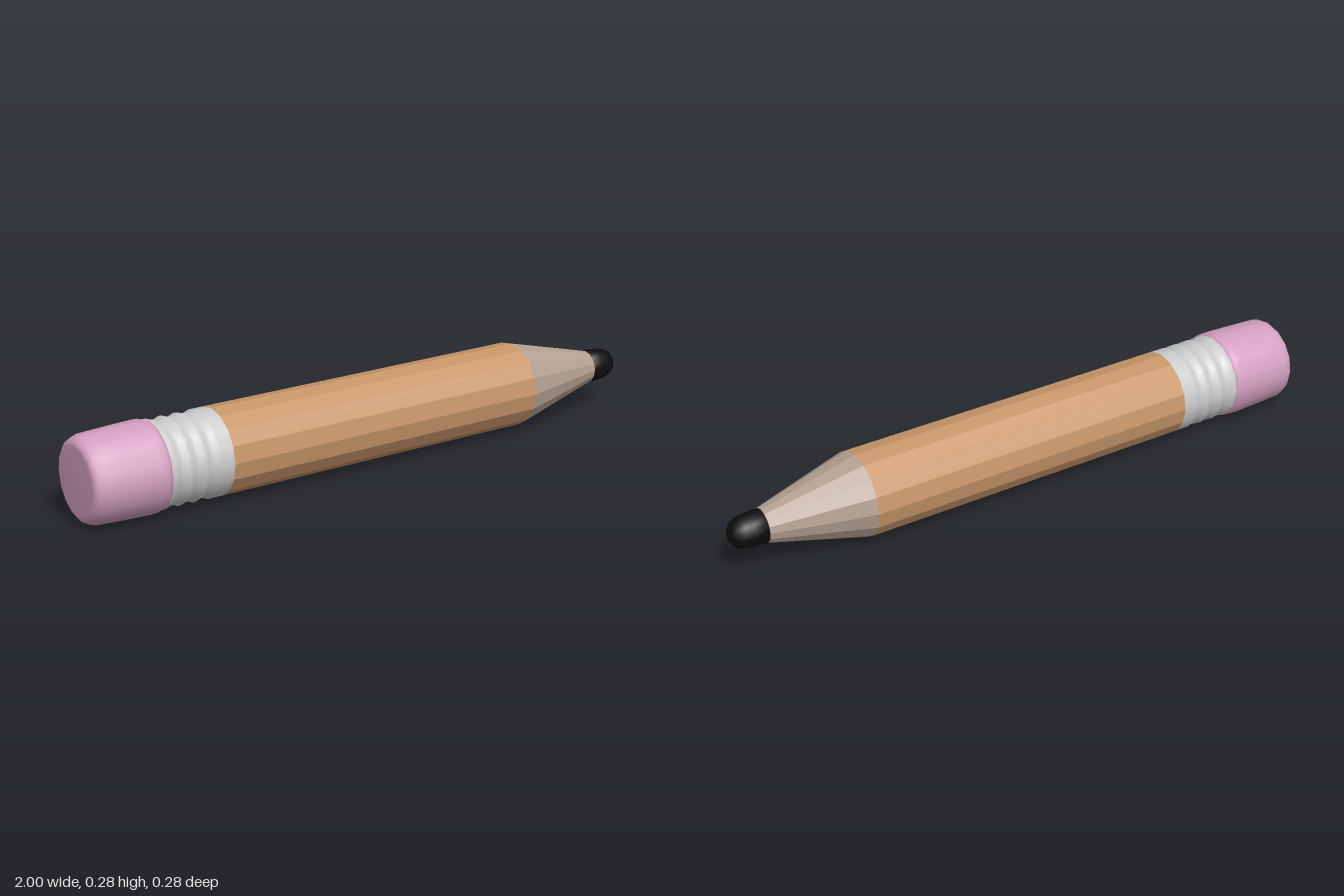
import * as THREE from 'three';

const SIDES = 16;
const AXIS_Y = 0.142;

// Turns a profile of [x along the pencil, radius] around the pencil's long axis.
function turned(name, profile, color, flat = false) {
  const points = profile.map(([x, r]) => new THREE.Vector2(r, x));
  const geometry = new THREE.LatheGeometry(points, SIDES);
  geometry.rotateZ(-Math.PI / 2);
  const material = new THREE.MeshStandardMaterial({ color, flatShading: flat });
  const mesh = new THREE.Mesh(geometry, material);
  mesh.name = name;
  mesh.position.y = AXIS_Y;
  return mesh;
}

export function createModel() {
  const pencil = new THREE.Group();
  pencil.name = 'pencil';

  // Eraser: flat end, rounded rim, slight flare and a lip over the ferrule
  pencil.add(turned('eraser', [
    [-1, 0], [-1, 0.105], [-0.996, 0.118], [-0.985, 0.129], [-0.965, 0.135],
    [-0.9, 0.138], [-0.79, 0.142], [-0.768, 0.141], [-0.757, 0.137], [-0.755, 0.128],
  ], 0xd4a0c0));

  // Ferrule: metal sleeve with three shallow grooves
  const ferrule = [[-0.765, 0.136]];
  const grooves = 3, steps = 8, start = -0.745, pitch = 0.05;
  for (let i = 0; i <= grooves * steps; i++) {
    const t = i / steps;
    ferrule.push([start + t * pitch, 0.1325 + 0.0035 * Math.cos(t * Math.PI * 2)]);
  }
  ferrule.push([-0.55, 0.136]);
  pencil.add(turned('ferrule', ferrule, 0xcccccc));

  // Faceted painted shaft
  pencil.add(turned('shaft', [[-0.55, 0.136], [0.575, 0.136]], 0xc8966a, true));

  // Sharpened bare wood
  pencil.add(turned('sharpenedWood', [[0.575, 0.136], [0.89, 0.054]], 0xb3a092, true));

  // Blunt rounded lead
  pencil.add(turned('lead', [
    [0.888, 0.04], [0.889, 0.054], [0.93, 0.053], [0.96, 0.049],
    [0.982, 0.04], [0.995, 0.025], [1, 0],
  ], 0x0d0d0d));

  return pencil;
}
